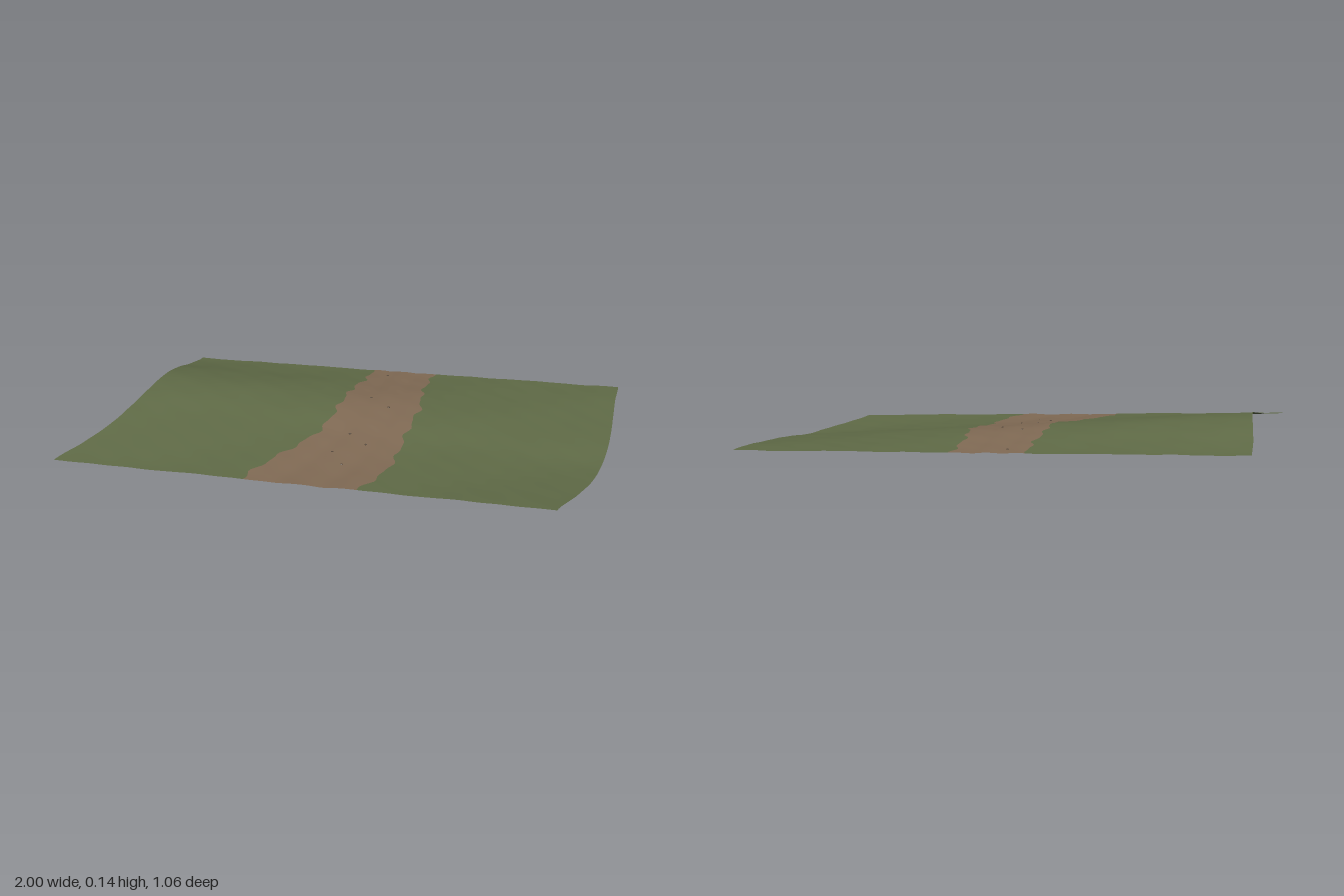
import * as THREE from 'three';

const HALF_Z = 0.53;
const ROWS = 72;

// Smooth curve through values spaced evenly from back (t = 0) to front (t = 1)
function track(values) {
  const curve = new THREE.SplineCurve(values.map((v) => new THREE.Vector2(v, 0)));
  return (t) => curve.getPoint(t).x;
}

const rightX = track([1.0, 0.985, 0.975, 0.965, 0.95, 0.925, 0.89, 0.835, 0.775]);
const leftX = (t) => rightX(t) - 1.775;
const leftY = track([0.07, 0.092, 0.124, 0.143, 0.138, 0.117, 0.096, 0.076, 0.06]);
const rightY = track([0.059, 0.056, 0.046, 0.034, 0.021, 0.006, 0.006, 0.014, 0.025]);
const pathLeft = track([-0.02, -0.03, -0.055, -0.07, -0.085, -0.115, -0.18, -0.255, -0.31]);
const pathRight = track([0.24, 0.225, 0.22, 0.23, 0.215, 0.2, 0.19, 0.16, 0.1]);

// Ragged borders between dirt and grass
const dirtLeft = (t) => pathLeft(t) + 0.008 * Math.sin(t * 52) + 0.004 * Math.sin(t * 91 + 1);
const dirtRight = (t) => pathRight(t) + 0.008 * Math.sin(t * 47 + 2) + 0.004 * Math.sin(t * 83);

// Banked slope with gentle bumps and two shallow wheel ruts
function height(x, t) {
  const u = (x - leftX(t)) / 1.775;
  const z = t * 2 * HALF_Z;
  const bumps = 0.0014 * Math.sin(x * 17 + z * 6) * Math.cos(z * 13 - x * 4)
    + 0.0008 * Math.sin(x * 41 - z * 19 + 1) * Math.cos(z * 29 + x * 7);
  const p = (x - pathLeft(t)) / (pathRight(t) - pathLeft(t));
  const ruts = Math.exp(-(((p - 0.3) / 0.1) ** 2)) + Math.exp(-(((p - 0.7) / 0.1) ** 2));
  return THREE.MathUtils.lerp(leftY(t), rightY(t), u) + bumps - 0.003 * ruts;
}

// Ground strip between two border curves
function strip(name, from, to, columns, material) {
  const geometry = new THREE.PlaneGeometry(1, 1, columns, ROWS);
  const pos = geometry.attributes.position;
  for (let i = 0; i < pos.count; i++) {
    const s = (i % (columns + 1)) / columns;
    const t = Math.floor(i / (columns + 1)) / ROWS;
    const x = THREE.MathUtils.lerp(from(t), to(t), s);
    pos.setXYZ(i, x, height(x, t), (t * 2 - 1) * HALF_Z);
  }
  geometry.computeVertexNormals();
  const mesh = new THREE.Mesh(geometry, material);
  mesh.name = name;
  return mesh;
}

export function createModel() {
  const paint = (name, color) => {
    const material = new THREE.MeshStandardMaterial({ color, side: THREE.DoubleSide });
    material.name = name;
    return material;
  };
  const grass = paint('grass green', 0x5f6a46);
  const dirt = paint('dirt brown', 0x806a54);
  const stone = paint('stone brown', 0x55473a);

  const model = new THREE.Group();
  model.name = 'hillsidePath';
  model.add(
    strip('leftGrass', leftX, dirtLeft, 40, grass),
    strip('dirtPath', dirtLeft, dirtRight, 24, dirt),
    strip('rightGrass', dirtRight, rightX, 40, grass),
  );

  // Small flat pebbles scattered along the path
  const pebbles = new THREE.Group();
  pebbles.name = 'pebbles';
  const pebbleShape = new THREE.IcosahedronGeometry(0.006, 0).scale(1, 0.5, 0.8);
  const spots = [[0.05, -0.47], [0.03, -0.17], [0.11, -0.1], [0, 0.13], [0.07, 0.19], [-0.04, 0.27], [0.01, 0.35]];
  spots.forEach(([x, z], i) => {
    const pebble = new THREE.Mesh(pebbleShape, stone);
    pebble.name = 'pebble';
    pebble.position.set(x, height(x, (z / HALF_Z + 1) / 2), z);
    pebble.rotation.y = i * 1.3;
    pebbles.add(pebble);
  });
  model.add(pebbles);

  // Rest the lowest point on y = 0
  const lowest = new THREE.Box3().setFromObject(model).min.y;
  model.children.forEach((part) => { part.position.y -= lowest; });
  return model;
}
